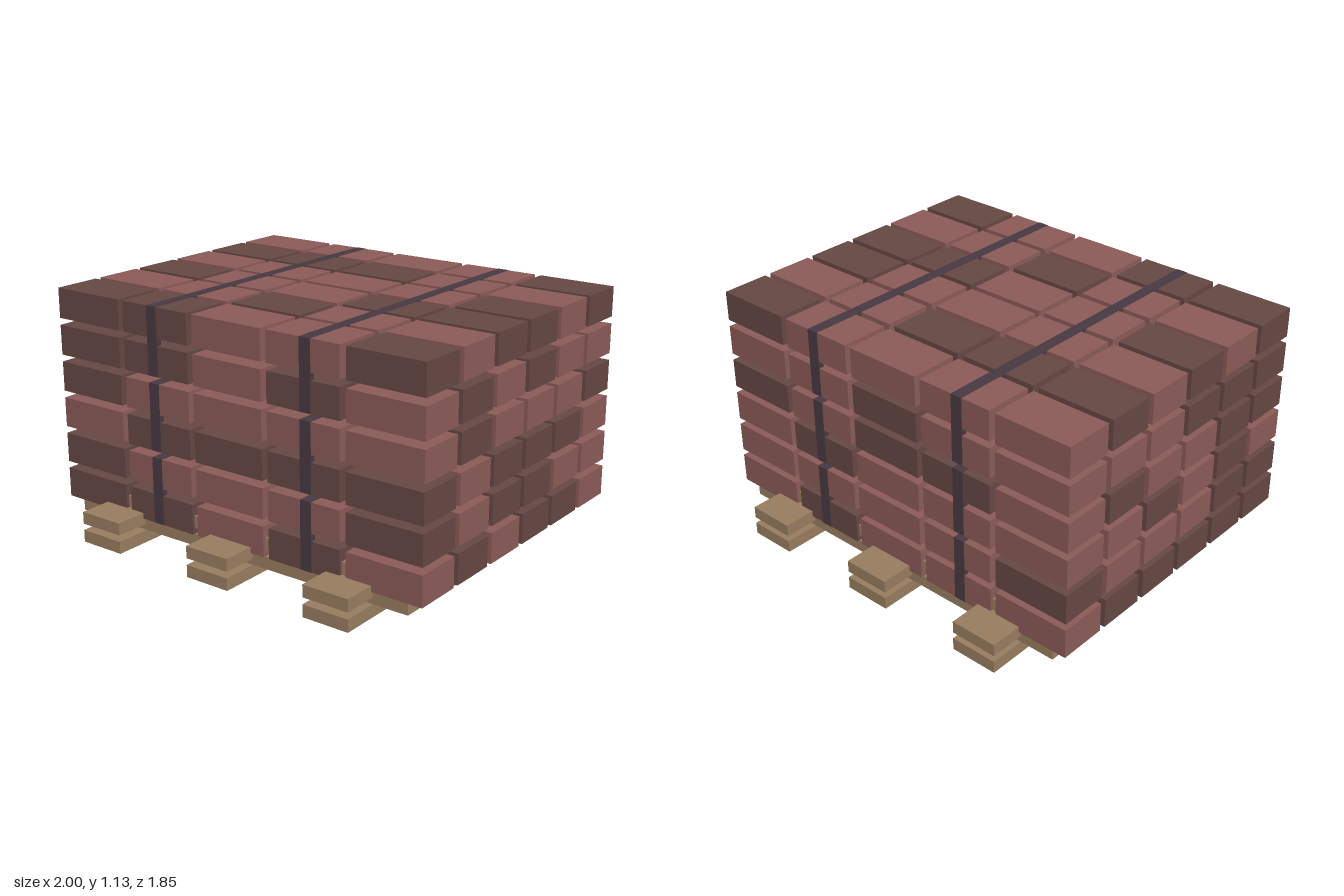
import * as THREE from 'three';

const material = (name, color) => {
  const m = new THREE.MeshStandardMaterial({ color });
  m.name = name;
  return m;
};

// Visible block colours: L = light brick, D = dark brick; layers run bottom to top
const FRONT = ['DDLDL', 'DLLLD', 'LDDDD', 'DLLLL', 'DDLDL', 'DDLLD']; // x from -1 to 1
const BACK = ['LLLDL', 'DLLLL', 'LLLDL', 'LDDLD', 'LLDLL', 'LLLLD']; // x from -1 to 1
const RIGHT = ['LDDLDL', 'LLDDLD', 'LDDDLD', 'DLLLDL', 'LLDLDL', 'DLDDLD']; // back to front
const TOP = ['LLLLD', 'DDDLL', 'LLLLD', 'DLLDD', 'LLDLL', 'DDLLD']; // rows back to front

function blockTone(col, row, layer) {
  if (layer === 5) return TOP[row][col];
  if (col === 4) return RIGHT[layer][row];
  if (row === 5) return FRONT[layer][col];
  if (row === 0) return BACK[layer][col];
  return (col * 7 + row * 5 + layer * 11 + row * layer) % 5 < 2 ? 'D' : 'L';
}

export function createModel() {
  const model = new THREE.Group();
  model.name = 'brickPallet';

  const wood = material('wood', 0x977c5e);
  const strap = material('strap', 0x473840);
  const brick = {
    L: material('lightBrick', 0x8a5a57),
    D: material('darkBrick', 0x654743),
  };

  const group = (name) => {
    const g = new THREE.Group();
    g.name = name;
    model.add(g);
    return g;
  };
  const box = (parent, name, mat, size, pos) => {
    const mesh = new THREE.Mesh(new THREE.BoxGeometry(...size), mat);
    mesh.name = name;
    mesh.position.set(...pos);
    parent.add(mesh);
  };

  // Pallet: runners and cross slats in alternating levels
  const pallet = group('pallet');
  for (const y of [0.029, 0.118]) {
    for (const x of [-0.637, 0, 0.637]) {
      box(pallet, 'runner', wood, [0.23, 0.058, 1.85], [x, y, 0]);
    }
  }
  for (const y of [0.089, 0.176]) {
    for (let i = -2; i <= 2; i++) {
      box(pallet, 'slat', wood, [1.85, 0.058, 0.232], [0, y, i * 0.32]);
    }
  }

  // Stacked blocks: 5 across, 6 deep, 6 high
  const bricks = group('bricks');
  const size = [0.376, 0.141, 0.231];
  for (let layer = 0; layer < 6; layer++) {
    for (let row = 0; row < 6; row++) {
      for (let col = 0; col < 5; col++) {
        box(bricks, 'brick', brick[blockTone(col, row, layer)], size,
          [(col - 2) * 0.406, 0.19 + layer * 0.174, (row - 2.5) * 0.2615]);
      }
    }
  }

  // Straps: a pair of bands over every two layers
  const straps = group('straps');
  for (let i = 0; i < 3; i++) {
    const bottom = 0.12 + i * 0.348;
    const top = bottom + 0.3155;
    for (const x of [-0.42, 0.42]) {
      box(straps, 'strapTop', strap, [0.056, 0.026, 1.544], [x, top - 0.013, 0]);
      for (const side of [-1, 1]) {
        box(straps, 'strapSide', strap, [0.056, top - bottom, 0.028],
          [x, (top + bottom) / 2, side * 0.758]);
      }
    }
  }

  return model;
}
